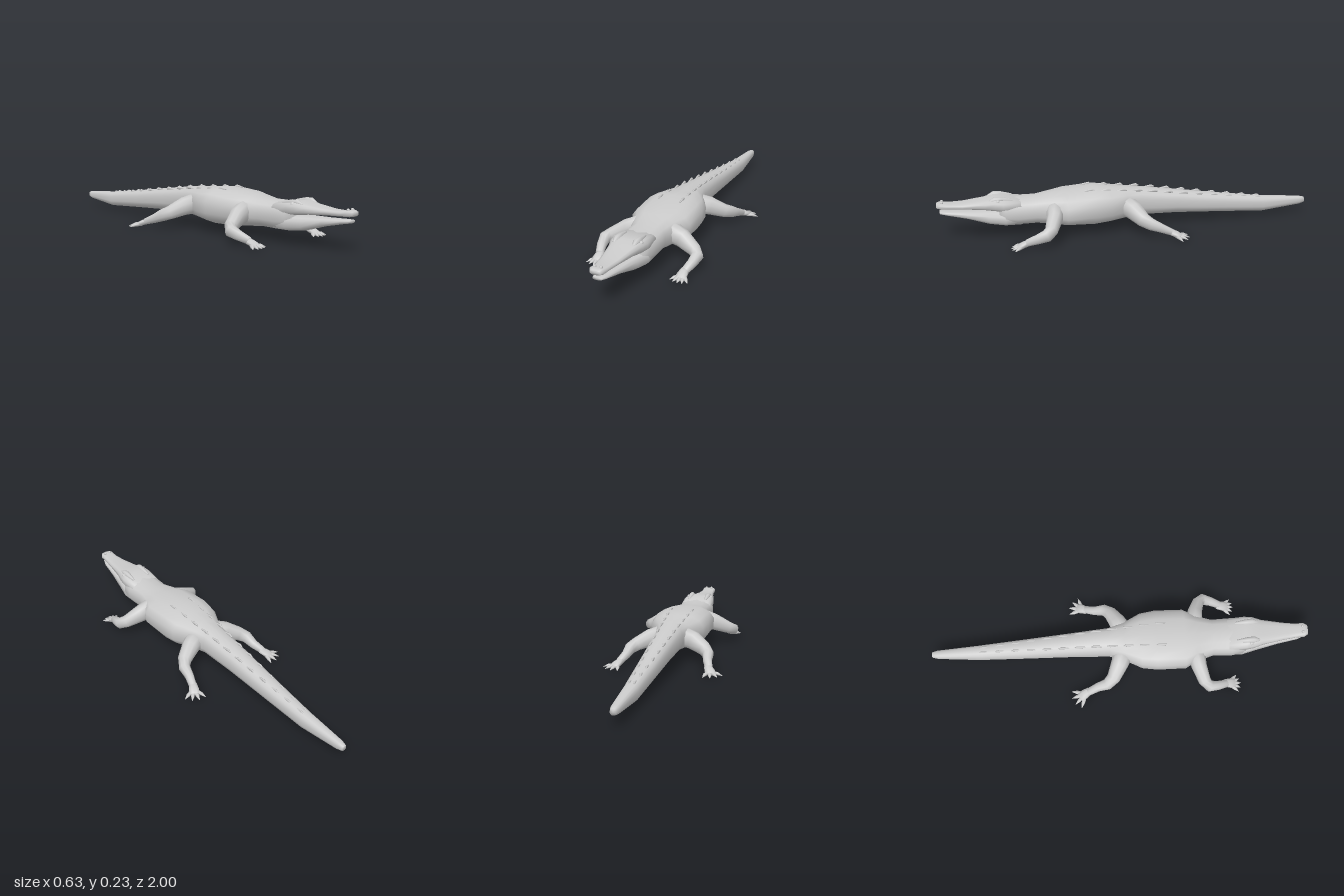
import * as THREE from 'three';

const material = new THREE.MeshStandardMaterial({ color: 0xcccccc });
const UP = new THREE.Vector3(0, 1, 0);

// Skins rounded cross-sections [x, y, z, halfWidth, halfHeight] into a closed surface.
// A lower power makes the sections boxier; axis fixes the plane the sections lie in.
function loft(name, sections, sides = 8, power = 1, axis = null) {
  const centres = sections.map(s => new THREE.Vector3(s[0], s[1], s[2]));
  const last = sections.length - 1;
  const positions = [], index = [];
  const bend = v => Math.sign(v) * Math.abs(v) ** power;
  sections.forEach(([, , , w, h], i) => {
    const dir = axis ? axis.clone()
      : centres[Math.min(i + 1, last)].clone().sub(centres[Math.max(i - 1, 0)]).normalize();
    const right = UP.clone().cross(dir).normalize();
    const up = dir.clone().cross(right);
    for (let k = 0; k < sides; k++) {
      const a = (k + 0.5) / sides * Math.PI * 2;
      const p = centres[i].clone()
        .addScaledVector(right, w * bend(Math.cos(a)))
        .addScaledVector(up, h * bend(Math.sin(a)));
      positions.push(p.x, p.y, p.z);
    }
  });
  const start = sections.length * sides, end = start + 1;
  positions.push(...centres[0].toArray(), ...centres[last].toArray());
  for (let k = 0; k < sides; k++) {
    const n = (k + 1) % sides;
    for (let i = 0; i < last; i++) {
      const a = i * sides, b = a + sides;
      index.push(a + k, a + n, b + k, a + n, b + n, b + k);
    }
    index.push(start, n, k, end, last * sides + k, last * sides + n);
  }
  const geometry = new THREE.BufferGeometry();
  geometry.setAttribute('position', new THREE.Float32BufferAttribute(positions, 3));
  geometry.setIndex(index);
  geometry.computeVertexNormals();
  const mesh = new THREE.Mesh(geometry, material);
  mesh.name = name;
  return mesh;
}

// Lengthwise profile rows: [z, halfWidth, bottomY, topY]
function profileLoft(name, rows, sides, power) {
  const sections = rows.map(([z, w, lo, hi]) => [0, (lo + hi) / 2, z, w, (hi - lo) / 2]);
  return loft(name, sections, sides, power, new THREE.Vector3(0, 0, 1));
}

const bodyRows = [
  [-1, 0.014, 0.057, 0.088], [-0.97, 0.022, 0.05, 0.094], [-0.75, 0.037, 0.028, 0.112],
  [-0.5, 0.05, 0.045, 0.145], [-0.25, 0.062, 0.06, 0.183], [-0.05, 0.074, 0.065, 0.211],
  [0.03, 0.1, 0.058, 0.218], [0.12, 0.148, 0.052, 0.226], [0.2, 0.16, 0.045, 0.235],
  [0.35, 0.16, 0.05, 0.223], [0.41, 0.125, 0.058, 0.216], [0.5, 0.096, 0.066, 0.203],
  [0.6, 0.1, 0.066, 0.203], [0.66, 0.09, 0.07, 0.205], [0.69, 0.07, 0.08, 0.195],
];

// Height of the back at a given z
function backHeight(z) {
  const i = bodyRows.findIndex(r => r[0] >= z);
  const a = bodyRows[i - 1], b = bodyRows[i];
  return THREE.MathUtils.mapLinear(z, a[0], b[0], a[3], b[3]);
}

// Flat palm with tapering clawed toes spread around a heading
function foot(name, x, z, heading, side, toes, length) {
  const group = new THREE.Group();
  group.name = name;
  const along = (a, d, y, w, h) =>
    [side * (x + Math.sin(a) * d), y, z + Math.cos(a) * d, w, h];
  group.add(loft('palm', [
    along(heading, -0.025, 0.034, 0.02, 0.016),
    along(heading, 0.01, 0.022, 0.027, 0.014),
    along(heading, 0.035, 0.014, 0.026, 0.009),
  ], 8, 0.85));
  for (let i = 0; i < toes; i++) {
    const a = heading + (i / (toes - 1) - 0.5) * 1.5;
    group.add(loft('toe', [
      along(a, 0.01, 0.017, 0.011, 0.01),
      along(a, length * 0.65, 0.013, 0.010, 0.008),
      along(a, length, 0.006, 0.001, 0.001),
    ], 6));
  }
  return group;
}

export function createModel() {
  const model = new THREE.Group();
  model.name = 'crocodile';

  // Trunk, neck and tail in one skin
  model.add(profileLoft('bodyAndTail', bodyRows, 14, 0.78));

  // Slightly open jaws
  model.add(profileLoft('upperJaw', [
    [0.58, 0.088, 0.13, 0.2], [0.67, 0.09, 0.144, 0.213], [0.71, 0.085, 0.15, 0.216],
    [0.76, 0.068, 0.156, 0.205], [0.87, 0.048, 0.165, 0.194], [0.94, 0.038, 0.168, 0.194],
    [0.98, 0.038, 0.17, 0.202], [1.0, 0.026, 0.174, 0.197],
  ], 12, 0.65));
  model.add(profileLoft('lowerJaw', [
    [0.58, 0.085, 0.066, 0.148], [0.66, 0.09, 0.068, 0.147], [0.74, 0.07, 0.078, 0.148],
    [0.85, 0.05, 0.112, 0.151], [0.95, 0.036, 0.135, 0.156], [0.985, 0.022, 0.142, 0.157],
  ], 12, 0.7));

  for (const side of [-1, 1]) {
    const label = side > 0 ? 'left' : 'right';

    // Brow ridge, eye and nostril
    const brow = [[0.62, 0.006, 0.203], [0.675, 0.015, 0.209], [0.71, 0.017, 0.21], [0.74, 0.006, 0.203]];
    model.add(loft(label + 'Brow', brow.map(([z, r, y]) => [side * 0.05, y, z, r, r * 0.9]), 8));
    const eye = new THREE.Mesh(new THREE.SphereGeometry(0.011, 10, 8), material);
    eye.name = label + 'Eye';
    eye.position.set(side * 0.067, 0.202, 0.695);
    model.add(eye);
    const nostril = new THREE.Mesh(new THREE.SphereGeometry(0.008, 8, 6), material);
    nostril.name = label + 'Nostril';
    nostril.position.set(side * 0.016, 0.201, 0.973);
    model.add(nostril);

    // Front leg: outward upper arm, forearm turning forward
    model.add(loft(label + 'FrontLeg', [
      [side * 0.07, 0.145, 0.405, 0.05, 0.055],
      [side * 0.15, 0.12, 0.42, 0.04, 0.047],
      [side * 0.225, 0.085, 0.448, 0.032, 0.033],
      [side * 0.25, 0.07, 0.475, 0.03, 0.031],
      [side * 0.243, 0.053, 0.52, 0.024, 0.025],
      [side * 0.228, 0.034, 0.57, 0.02, 0.018],
    ], 10, 0.9));
    model.add(foot(label + 'FrontFoot', 0.224, 0.582, -0.05, side, 5, 0.068));

    // Hind leg: outward thigh, shin sweeping back
    model.add(loft(label + 'HindLeg', [
      [side * 0.05, 0.135, 0.03, 0.055, 0.055],
      [side * 0.12, 0.12, 0.0, 0.046, 0.048],
      [side * 0.185, 0.09, -0.035, 0.036, 0.036],
      [side * 0.213, 0.073, -0.07, 0.03, 0.031],
      [side * 0.22, 0.052, -0.12, 0.023, 0.024],
      [side * 0.238, 0.032, -0.172, 0.02, 0.017],
    ], 10, 0.9));
    model.add(foot(label + 'HindFoot', 0.243, -0.186, Math.PI - 0.5, side, 4, 0.078));

    // Low scutes in a row along the back and tail
    const scutes = new THREE.Group();
    scutes.name = label + 'ScuteRow';
    for (let z = 0.22; z > -0.72; z -= 0.085) {
      const x = side * THREE.MathUtils.mapLinear(z, -0.72, 0.22, 0.012, 0.06);
      const y = backHeight(z) - 0.005;
      scutes.add(loft('scute', [
        [x, y, z + 0.03, 0.004, 0.003],
        [x, y + 0.002, z - 0.01, 0.006, 0.009],
        [x, y - 0.002, z - 0.025, 0.003, 0.003],
      ], 6));
    }
    model.add(scutes);
  }
  return model;
}
